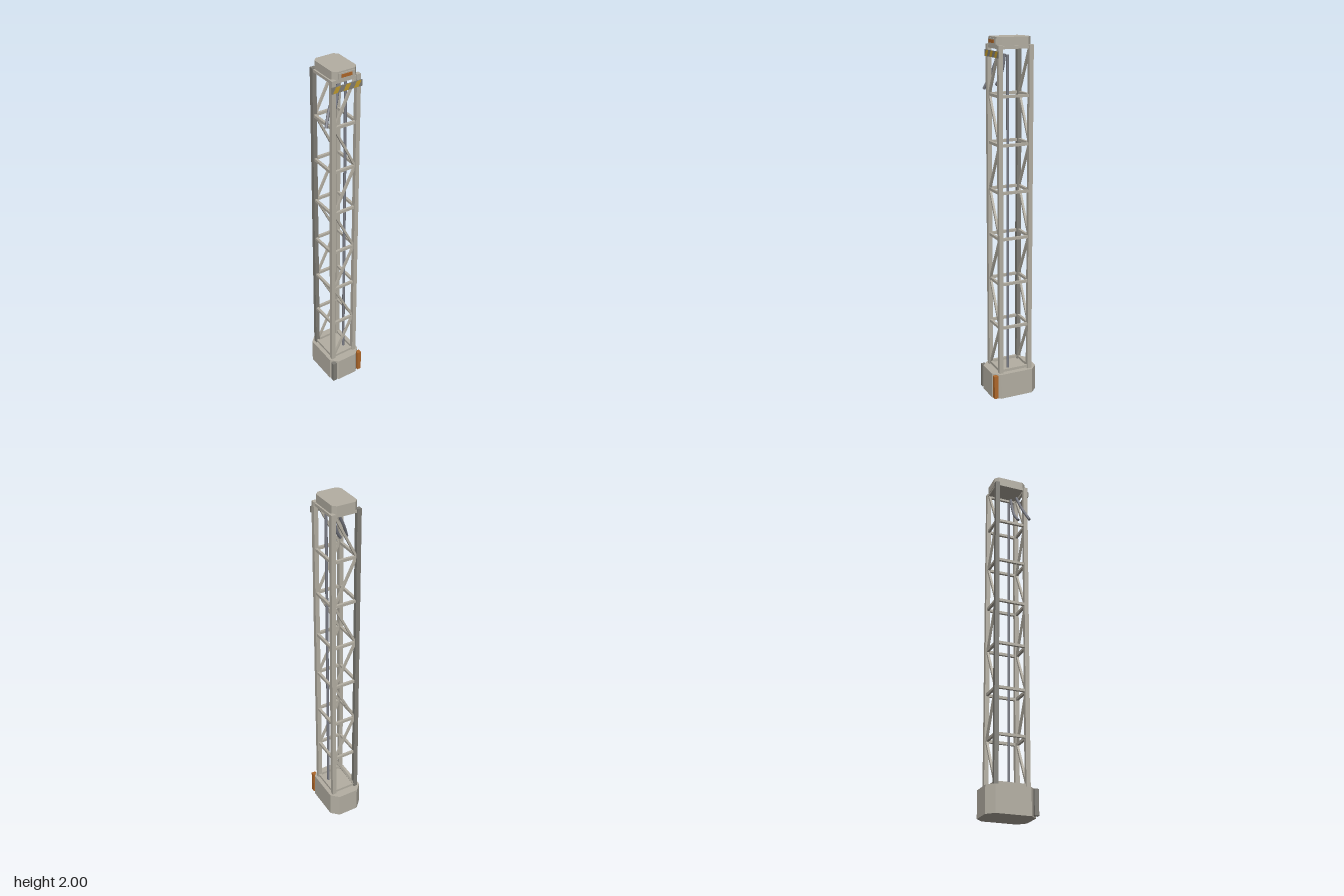
import * as THREE from 'three';

const CX = 0.0115, CZ = -0.0025;      // tower axis
const LX = 0.072, LZ = 0.087;         // leg offsets from the axis
const BOTTOM = 0.16, BAY = 0.2565, BAYS = 7;

function paint(name, color) {
  const m = new THREE.MeshStandardMaterial({ color });
  m.name = name;
  return m;
}

export function createModel() {
  const beige = paint('beige metal', 0xb4afa3);
  const grey = paint('dark grey metal', 0x7f7d76);
  const orange = paint('rust orange', 0xb0682a);
  const yellow = paint('hazard yellow', 0xc09a2e);
  const cableGrey = paint('cable grey', 0x7b7d86);

  const model = new THREE.Group();
  model.name = 'latticeTower';

  function add(name, geometry, material, x = 0, y = 0, z = 0) {
    const mesh = new THREE.Mesh(geometry, material);
    mesh.name = name;
    mesh.position.set(x, y, z);
    model.add(mesh);
    return mesh;
  }
  const box = (name, mat, w, h, d, x, y, z) =>
    add(name, new THREE.BoxGeometry(w, h, d), mat, x, y, z);

  // Upright prism with chamfered corners
  function chamferedBlock(name, hx, hz, c, y0, y1) {
    const pts = [[hx - c, -hz], [hx, c - hz], [hx, hz - c], [hx - c, hz],
      [c - hx, hz], [-hx, hz - c], [-hx, c - hz], [c - hx, -hz]];
    const shape = new THREE.Shape(pts.map(([x, z]) => new THREE.Vector2(x, z)));
    const geo = new THREE.ExtrudeGeometry(shape, { depth: y1 - y0, bevelEnabled: false });
    geo.rotateX(-Math.PI / 2);
    add(name, geo, beige, CX, y0, CZ);
  }

  // Square bar between two points
  function bar(name, a, b, size) {
    const dir = new THREE.Vector3().subVectors(b, a);
    const mesh = box(name, beige, size, dir.length(), size, 0, 0, 0);
    mesh.position.addVectors(a, b).multiplyScalar(0.5);
    mesh.quaternion.setFromUnitVectors(new THREE.Vector3(0, 1, 0), dir.normalize());
  }

  // Base and cap
  chamferedBlock('base', 0.0995, 0.1365, 0.04, 0, 0.147);
  chamferedBlock('cap', 0.0705, 0.0955, 0.02, 1.953, 2);

  // Corner legs, one of them a darker replacement
  for (const sx of [-1, 1]) for (const sz of [-1, 1]) {
    box('leg', sx < 0 && sz < 0 ? grey : beige, 0.024, 1.815, 0.024,
      CX + sx * LX, 0.145 + 1.815 / 2, CZ + sz * LZ);
  }

  // Horizontal rails at every level, on all four sides
  for (let i = 0; i <= BAYS; i++) {
    const y = BOTTOM + i * BAY - (i === BAYS ? 0.008 : 0);
    for (const s of [-1, 1]) {
      box('crossRail', beige, LX * 2, 0.015, 0.014, CX, y, CZ + s * LZ);
      box('sideRail', beige, 0.014, 0.015, LZ * 2, CX + s * LX, y, CZ);
    }
  }

  // Zigzag braces on the front and back
  for (let i = 0; i < BAYS; i++) {
    const dir = i % 2 === 0 ? 1 : -1;
    for (const s of [-1, 1]) {
      const z = CZ + s * LZ;
      bar('diagonalBrace',
        new THREE.Vector3(CX - dir * (LX - 0.008), BOTTOM + i * BAY, z),
        new THREE.Vector3(CX + dir * (LX - 0.008), BOTTOM + (i + 1) * BAY, z), 0.012);
    }
  }

  // Inner conduit and the loose cables at the top
  add('conduit', new THREE.CylinderGeometry(0.008, 0.008, 1.765, 8), cableGrey, 0.053, 1.0275, 0.027);
  const cables = [
    [[-0.02, 1.91, 0.048], [-0.045, 1.85, 0.058], [-0.075, 1.79, 0.07], [-0.105, 1.72, 0.094]],
    [[0.01, 1.91, 0.024], [0.003, 1.85, 0.03], [-0.014, 1.79, 0.038], [-0.042, 1.745, 0.05]],
  ];
  for (const pts of cables) {
    const curve = new THREE.CatmullRomCurve3(pts.map(p => new THREE.Vector3(...p)));
    add('looseCable', new THREE.TubeGeometry(curve, 10, 0.008, 8), cableGrey);
    for (const t of [0, 1]) {
      const end = add('cableEnd', new THREE.CircleGeometry(0.008, 8), cableGrey);
      const p = curve.getPoint(t);
      end.position.copy(p);
      end.lookAt(p.clone().addScaledVector(curve.getTangent(t), t ? 1 : -1));
    }
  }

  // Corner blocks in front of the base
  box('cornerBlockRight', grey, 0.024, 0.136, 0.024, -0.076, 0.074, 0.122);
  box('cornerBlockLeft', orange, 0.024, 0.136, 0.024, 0.099, 0.074, 0.122);

  // Hazard board with slanted stripes
  box('hazardBoard', grey, 0.175, 0.034, 0.005, CX + 0.001, 1.913, 0.099);
  for (let i = 0; i < 3; i++) {
    const x = -0.07 + i * 0.06;
    const stripe = new THREE.Shape([[x, 1.897], [x + 0.027, 1.897], [x + 0.045, 1.929], [x + 0.018, 1.929]]
      .map(p => new THREE.Vector2(...p)));
    add('hazardStripe', new THREE.ExtrudeGeometry(stripe, { depth: 0.001, bevelEnabled: false }),
      yellow, 0, 0, 0.1015);
  }

  // Plaque on the cap
  box('plaqueFrame', beige, 0.094, 0.03, 0.006, CX, 1.977, 0.095);
  box('plaque', orange, 0.062, 0.017, 0.005, CX, 1.977, 0.0985);

  return model;
}
